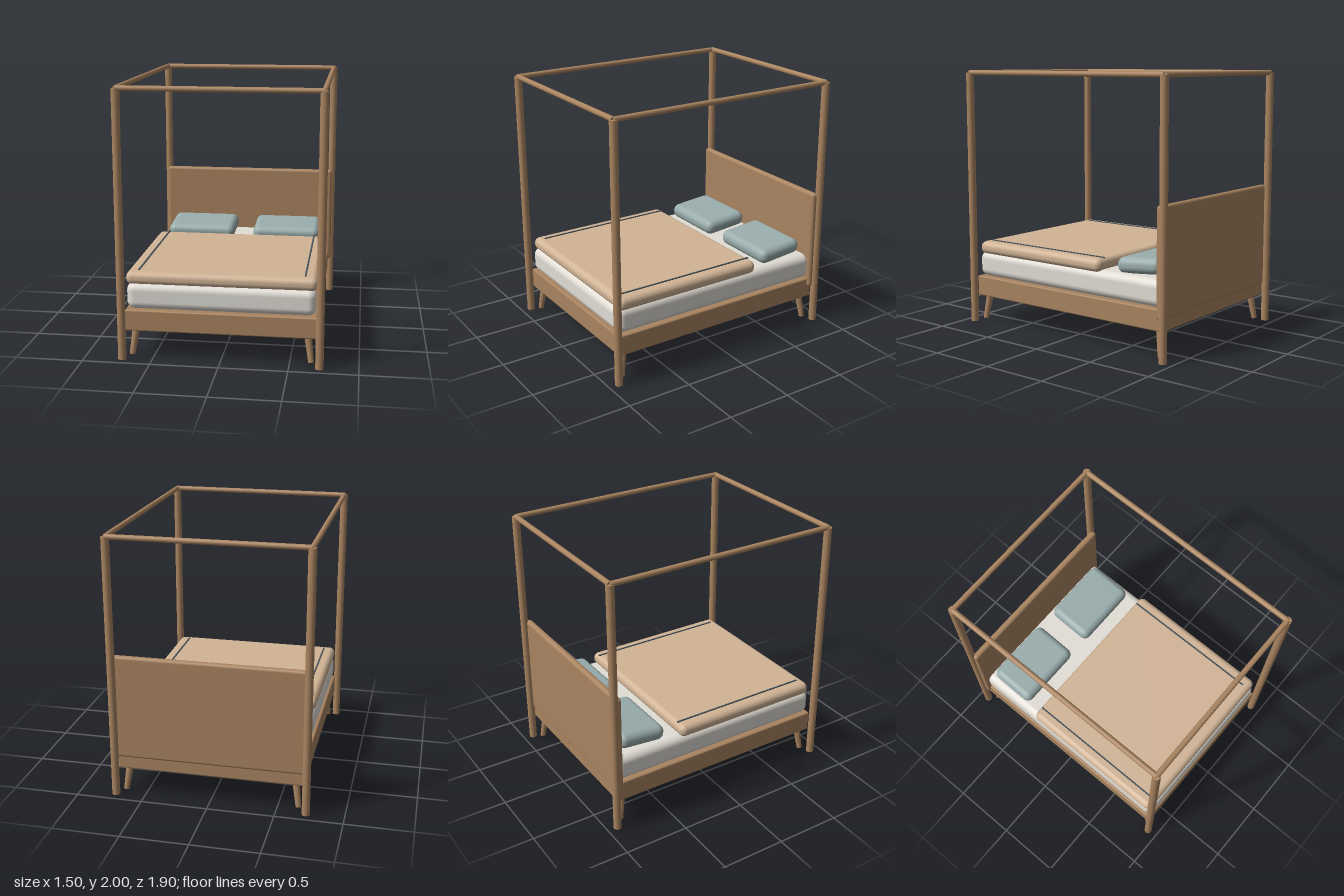
import * as THREE from 'three';
import { RoundedBoxGeometry } from 'three/addons/geometries/RoundedBoxGeometry.js';

const mat = (name, color) => {
  const m = new THREE.MeshStandardMaterial({ color });
  m.name = name;
  return m;
};

export function createModel() {
  const bed = new THREE.Group();
  bed.name = 'canopyBed';
  const wood = mat('wood', 0xa98460);
  const linen = mat('mattress linen', 0xe2ded6);
  const tan = mat('blanket tan', 0xd1b496);
  const sage = mat('pillow sage', 0x99adac);
  const slate = mat('trim slate', 0x46525a);

  const add = (name, geometry, material, x, y, z) => {
    const mesh = new THREE.Mesh(geometry, material);
    mesh.name = name;
    mesh.position.set(x, y, z);
    bed.add(mesh);
    return mesh;
  };
  const rounded = (name, material, size, radius, x, y, z) =>
    add(name, new RoundedBoxGeometry(...size, 5, radius), material, x, y, z);
  // Round bar running between two points, tapering from r0 to r1
  const bar = (name, from, to, r0, r1 = r0) => {
    const a = new THREE.Vector3(...from), b = new THREE.Vector3(...to);
    const dir = b.clone().sub(a), mid = a.clone().add(b).multiplyScalar(0.5);
    const mesh = add(name, new THREE.CylinderGeometry(r1, r0, dir.length(), 24), wood, mid.x, mid.y, mid.z);
    mesh.quaternion.setFromUnitVectors(new THREE.Vector3(0, 1, 0), dir.normalize());
  };

  // Base frame and headboard
  rounded('frame', wood, [1.40, 0.16, 1.80], 0.012, 0, 0.29, 0);
  rounded('headboard', wood, [1.45, 0.80, 0.052], 0.024, 0, 0.70, -0.882);

  // Bedding
  rounded('mattress', linen, [1.38, 0.20, 1.79], 0.06, 0, 0.47, 0);
  rounded('blanket', tan, [1.39, 0.10, 1.215], 0.045, 0, 0.60, 0.273);

  const px = 0.72, pz = 0.92, top = 1.98;
  for (const s of [-1, 1]) {
    const side = s > 0 ? 'left' : 'right';
    const end = s > 0 ? 'front' : 'back';

    // Blanket trim and pillow on each side
    add(side + 'BlanketTrim', new THREE.BoxGeometry(0.012, 0.008, 1.14), slate, s * 0.605, 0.652, 0.25);
    const pillow = rounded(side + 'Pillow', sage, [0.56, 0.12, 0.38], 0.055, s * 0.36, 0.632, -0.632);
    pillow.rotation.x = 0.09;

    // Canopy rails
    bar(side + 'CanopyRail', [s * px, top, -pz], [s * px, top, pz], 0.02);
    bar(end + 'CanopyRail', [-px, top, s * pz], [px, top, s * pz], 0.02);

    // Corner posts and splayed, tapered legs
    for (const t of [-1, 1]) {
      const corner = (t > 0 ? 'front' : 'back') + (s > 0 ? 'Left' : 'Right');
      bar(corner + 'Post', [s * px, 0, t * pz], [s * px, top, t * pz], 0.03);
      bar(corner + 'Leg', [s * 0.657, 0.02, t * 0.858], [s * 0.63, 0.22, t * 0.832], 0.021, 0.028);
    }
  }
  return bed;
}
